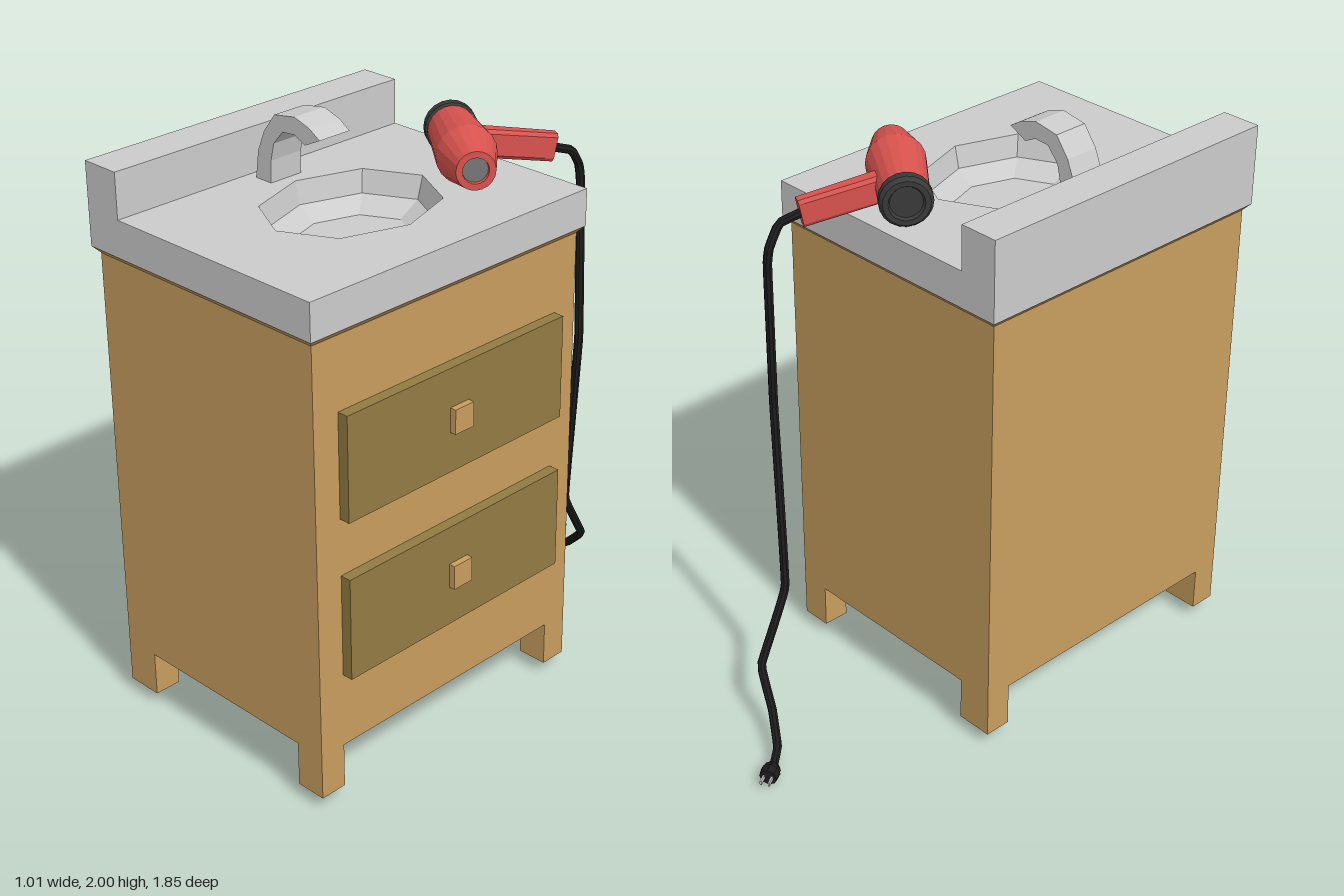
import * as THREE from 'three';

const mat = (color, side = THREE.FrontSide) =>
  new THREE.MeshStandardMaterial({ color, flatShading: true, side });
const grey = mat(0xcccccc), greyBoth = mat(0xcccccc, THREE.DoubleSide);
const wood = mat(0xc89d5e), drawerWood = mat(0x927a42);
const red = mat(0xd9534f), dark = mat(0x3a3a3a), grille = mat(0x777777), black = mat(0x1c1c1c);

function add(parent, name, geometry, material) {
  const mesh = new THREE.Mesh(geometry, material);
  mesh.name = name;
  parent.add(mesh);
  return mesh;
}

// box given by its minimum and maximum corners
function box(parent, name, material, [x0, y0, z0], [x1, y1, z1]) {
  const mesh = add(parent, name, new THREE.BoxGeometry(x1 - x0, y1 - y0, z1 - z0), material);
  mesh.position.set((x0 + x1) / 2, (y0 + y1) / 2, (z0 + z1) / 2);
  return mesh;
}

// group at one point whose +z axis aims at another
function aimed(parent, name, from, to) {
  const group = new THREE.Group();
  group.name = name;
  group.position.set(...from);
  group.lookAt(...to);
  parent.add(group);
  return group;
}

// profile of [radius, z] pairs turned around the z axis
function turned(profile, sides) {
  return new THREE.LatheGeometry(profile.map(([r, z]) => new THREE.Vector2(r, z)), sides).rotateX(Math.PI / 2);
}

function addCabinet(root) {
  const cabinet = new THREE.Group();
  cabinet.name = 'cabinet';
  root.add(cabinet);
  box(cabinet, 'carcass', wood, [-0.49, 0.2, -0.225], [0.445, 1.61, 0.905]);
  for (const [x0, x1] of [[-0.49, -0.36], [0.337, 0.445]])
    for (const [z0, z1] of [[-0.225, -0.13], [0.81, 0.905]])
      box(cabinet, 'leg', wood, [x0, 0.045, z0], [x1, 0.2, z1]);

  // flared trim under the counter
  const trim = box(cabinet, 'trim', wood, [-0.49, 1.608, -0.225], [0.445, 1.63, 0.905]);
  const p = trim.geometry.attributes.position;
  for (let i = 0; i < p.count; i++)
    if (p.getY(i) > 0) {
      p.setX(i, p.getX(i) + Math.sign(p.getX(i)) * 0.02);
      p.setZ(i, p.getZ(i) + Math.sign(p.getZ(i)) * 0.02);
    }

  // two drawers with square knobs
  for (const y of [0.46, 1.01]) {
    box(cabinet, 'drawer', drawerWood, [0.44, y, -0.13], [0.483, y + 0.355, 0.808]);
    box(cabinet, 'knob', wood, [0.48, y + 0.138, 0.3], [0.505, y + 0.222, 0.38]);
  }
}

function addCounter(root) {
  const counter = new THREE.Group();
  counter.name = 'counter';
  root.add(counter);
  const cx = 0.025, cz = 0.34, rx = 0.25, rz = 0.31;

  // slab with an eight-sided opening
  const slab = new THREE.Shape([[-0.51, -0.245], [0.465, -0.245], [0.465, 0.925], [-0.51, 0.925]]
    .map(([x, z]) => new THREE.Vector2(x, z)));
  const rim = [];
  for (let i = 0; i < 8; i++) {
    const a = i * Math.PI / 4;
    rim.push(new THREE.Vector2(cx + rx * Math.sin(a), cz + rz * Math.cos(a)));
  }
  slab.holes.push(new THREE.Path(rim));
  const top = new THREE.ExtrudeGeometry(slab, { depth: 0.125, bevelEnabled: false }).rotateX(Math.PI / 2);
  add(counter, 'countertop', top, grey).position.y = 1.755;
  box(counter, 'backsplash', grey, [-0.51, 1.755, -0.245], [-0.37, 1.908, 0.925]);

  // faceted basin
  const profile = [[0, 1.635], [0.68, 1.635], [0.93, 1.68], [1, 1.755]].map(([r, y]) => new THREE.Vector2(r, y));
  const basin = add(counter, 'basin', new THREE.LatheGeometry(profile, 8).scale(rx, 1, rz), greyBoth);
  basin.position.set(cx, 0, cz);

  // arched spout
  const spout = new THREE.Shape([
    [-0.335, 1.75], [-0.265, 1.75], [-0.262, 1.83], [-0.247, 1.89], [-0.205, 1.938], [-0.15, 1.942],
    [-0.106, 1.92], [-0.04, 1.952], [-0.085, 1.98], [-0.15, 2], [-0.24, 1.985], [-0.29, 1.92], [-0.32, 1.85],
  ].map(([x, y]) => new THREE.Vector2(x, y)));
  add(counter, 'faucet', new THREE.ExtrudeGeometry(spout, { depth: 0.125, bevelEnabled: false }), grey).position.z = 0.28;
}

function addDryer(root) {
  const dryer = new THREE.Group();
  dryer.name = 'hairDryer';
  root.add(dryer);

  // barrel, nozzle opening and rear cap
  const barrel = aimed(dryer, 'barrel', [-0.068, 1.845, -0.186], [0.286, 1.85, 0.066]);
  add(barrel, 'shell', turned([[0.078, 0.04], [0.098, 0.29], [0.063, 0.435], [0.042, 0.435], [0.04, 0.42]], 20),
    mat(0xd9534f, THREE.DoubleSide));
  add(barrel, 'nozzleGrille', new THREE.CircleGeometry(0.042, 20), grille).position.z = 0.423;
  add(barrel, 'rearCap', turned([[0, 0.012], [0.052, 0.012], [0.058, 0], [0.075, 0], [0.086, 0.015], [0.086, 0.045], [0.076, 0.055]], 20),
    mat(0x3a3a3a, THREE.DoubleSide));
  add(barrel, 'rearGrille', new THREE.CircleGeometry(0.05, 20).rotateY(Math.PI), dark).position.z = 0.009;

  // tapered handle with chamfered corners
  const w = 0.034, h = 0.047, c = 0.012, length = 0.315;
  const section = new THREE.Shape([
    [w, -h + c], [w, h - c], [w - c, h], [-w + c, h], [-w, h - c], [-w, -h + c], [-w + c, -h], [w - c, -h],
  ].map(([x, y]) => new THREE.Vector2(x, y)));
  const geo = new THREE.ExtrudeGeometry(section, { depth: length, bevelEnabled: false });
  const p = geo.attributes.position;
  for (let i = 0; i < p.count; i++) p.setX(i, p.getX(i) * (1 - 0.32 * p.getZ(i) / length));
  geo.computeVertexNormals();
  add(aimed(dryer, 'handle', [0.07, 1.847, -0.106], [0.205, 1.786, -0.39]), 'grip', geo, red);

  // cord hanging behind the cabinet
  const path = [
    [0.2, 1.785, -0.38], [0.225, 1.762, -0.45], [0.215, 1.7, -0.5], [0.22, 1.64, -0.506], [0.265, 1.1, -0.472],
    [0.19, 0.44, -0.518], [0.148, 0.21, -0.667], [0.045, 0.105, -0.71], [-0.065, 0.05, -0.78], [-0.125, 0.035, -0.85],
  ].map((q) => new THREE.Vector3(...q));
  const curve = new THREE.CatmullRomCurve3(path, false, 'catmullrom', 0.1);
  add(dryer, 'cord', new THREE.TubeGeometry(curve, 90, 0.015, 8), black);

  // plug with two prongs
  const plug = aimed(dryer, 'plug', [-0.115, 0.035, -0.838], [-0.165, 0.032, -0.92]);
  add(plug, 'plugBody', turned([[0, 0], [0.02, 0], [0.03, 0.015], [0.022, 0.025], [0.034, 0.03], [0.03, 0.058], [0, 0.058]], 8), black);
  for (const s of [-1, 1])
    box(plug, 'prong', grey, [s * 0.014 - 0.003, -0.008, 0.055], [s * 0.014 + 0.003, 0.008, 0.09]);
}

export function createModel() {
  const root = new THREE.Group();
  root.name = 'washstand';
  addCabinet(root);
  addCounter(root);
  addDryer(root);
  return root;
}
